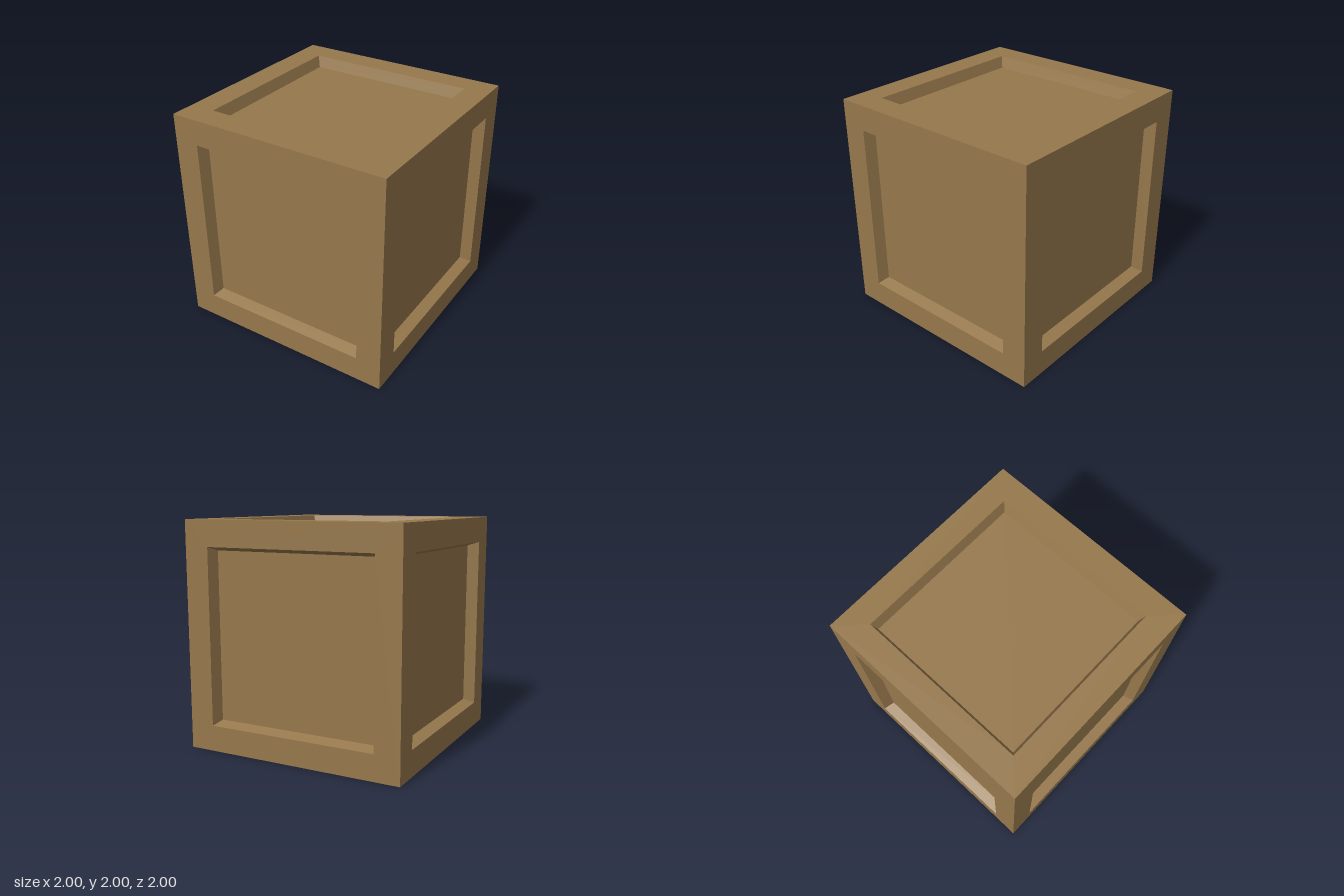
import * as THREE from 'three';

const HALF = 1, OPENING = 0.773, PANEL = 0.74, DEPTH = 0.1;
const CORNERS = [[-1, -1], [1, -1], [1, 1], [-1, 1]];

// Four quads joining an outer square to an inner one, facing +z
function squareRing(outer, outerZ, inner, innerZ) {
  const positions = [];
  CORNERS.forEach(([x0, y0], i) => {
    const [x1, y1] = CORNERS[(i + 1) % 4];
    const a = [x0 * outer, y0 * outer, outerZ];
    const b = [x1 * outer, y1 * outer, outerZ];
    const c = [x1 * inner, y1 * inner, innerZ];
    const d = [x0 * inner, y0 * inner, innerZ];
    positions.push(...a, ...b, ...c, ...a, ...c, ...d);
  });
  const geometry = new THREE.BufferGeometry();
  geometry.setAttribute('position', new THREE.Float32BufferAttribute(positions, 3));
  geometry.computeVertexNormals();
  return geometry;
}

export function createModel() {
  const wood = new THREE.MeshStandardMaterial({ color: 0x96784c, side: THREE.DoubleSide });
  wood.name = 'wood';

  const frame = squareRing(HALF, HALF, OPENING, HALF);
  const bevel = squareRing(OPENING, HALF, PANEL, HALF - DEPTH);
  const panel = new THREE.PlaneGeometry(PANEL * 2, PANEL * 2).translate(0, 0, HALF - DEPTH);

  // One thin crate wall: rim, sloped recess edge and sunken board
  function wall(name, rotX, rotY) {
    const group = new THREE.Group();
    group.name = name;
    for (const [part, geometry] of [['Frame', frame], ['Bevel', bevel], ['Panel', panel]]) {
      const mesh = new THREE.Mesh(geometry, wood);
      mesh.name = name + part;
      group.add(mesh);
    }
    group.rotation.set(rotX, rotY, 0);
    group.position.y = HALF;
    return group;
  }

  // Four sides and a top; the underside is open
  const crate = new THREE.Group();
  crate.name = 'crate';
  ['front', 'left', 'back', 'right'].forEach((name, i) => {
    crate.add(wall(name, 0, i * Math.PI / 2));
  });
  crate.add(wall('top', -Math.PI / 2, 0));
  return crate;
}
